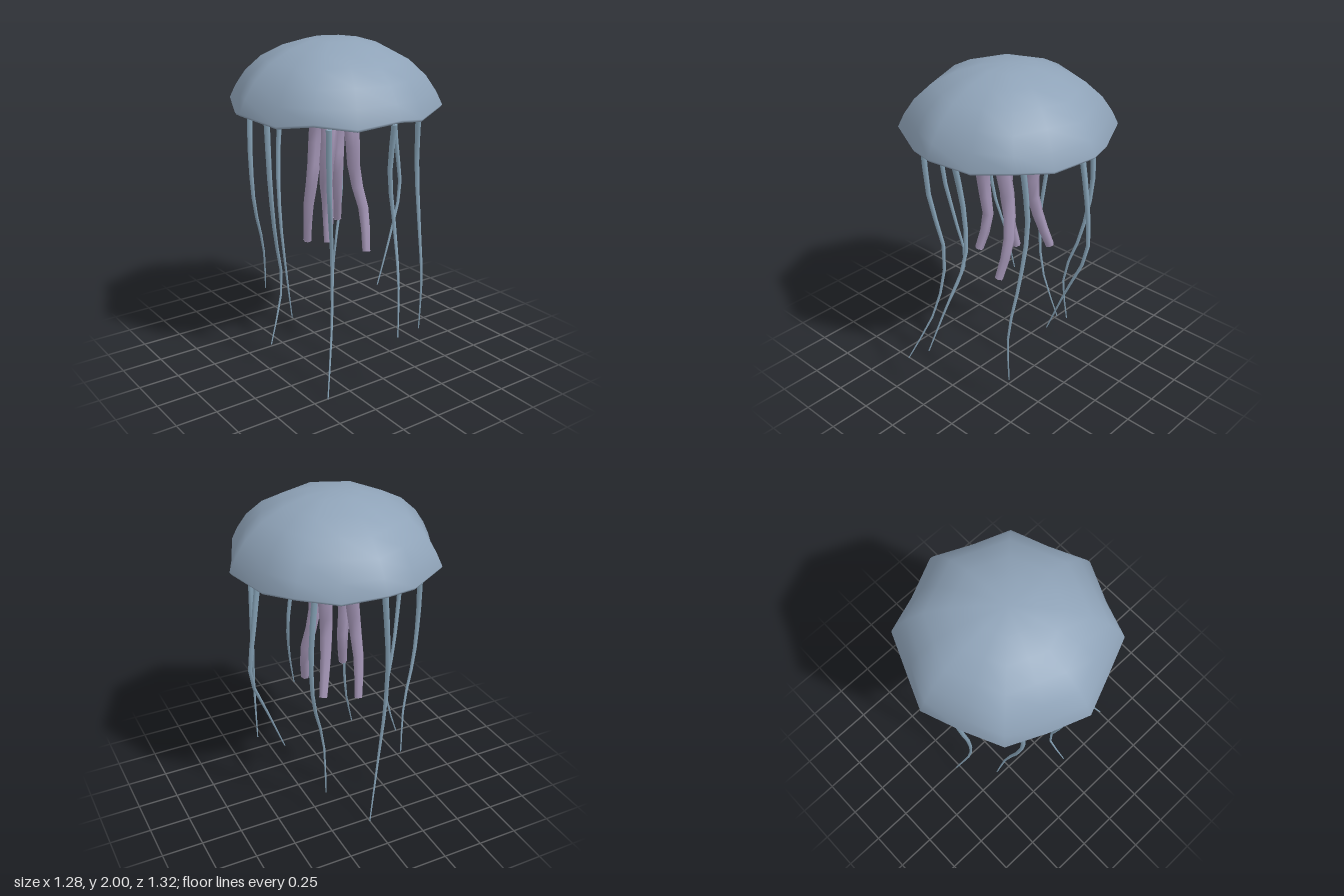
import * as THREE from 'three';
import { mergeVertices, mergeGeometries } from 'three/addons/utils/BufferGeometryUtils.js';

const CENTER_Z = -0.017;
const mat = (color) => new THREE.MeshStandardMaterial({ color, side: THREE.DoubleSide });
const bellMat = mat(0x8fa3b8), armMat = mat(0xa294b4), tentacleMat = mat(0x86a2b6);

// Hollow eight-cornered dome with a scalloped, rounded lip
function makeBell() {
  const outer = [[0.64, 1.622], [0.602, 1.7], [0.54, 1.79], [0.44, 1.88], [0.307, 1.947], [0.164, 1.988], [0, 2]];
  const inner = outer.map(([x, y]) => [x * 0.945, y - (y - 1.622) * 0.1]).reverse();
  const lip = [[0.615, 1.607], [0.63, 1.607]];
  const profile = [...inner, ...lip, ...outer].map(([x, y]) => new THREE.Vector2(x, y));
  const lathe = new THREE.LatheGeometry(profile, 16);
  const pos = lathe.attributes.position;
  for (let i = 0; i < pos.count; i++) {
    if (Math.floor(i / profile.length) % 2 === 0) continue;
    // between corners: pull in to a straight side and let the rim hang lower
    const k = Math.cos(Math.PI / 8), y = pos.getY(i);
    const dip = 0.042 * THREE.MathUtils.clamp((1.76 - y) / 0.14, 0, 1);
    pos.setXYZ(i, pos.getX(i) * k, y - dip, pos.getZ(i) * k);
  }
  lathe.deleteAttribute('uv');
  lathe.deleteAttribute('normal');
  const geo = mergeVertices(lathe, 1e-4);
  geo.computeVertexNormals();
  const bell = new THREE.Mesh(geo, bellMat);
  bell.name = 'bell';
  bell.position.z = CENTER_Z;
  return bell;
}

// Path from a point on a ring under the bell, sinking evenly through the drift positions (x, z)
function hangingPath(degrees, radius, topY, endY, drift) {
  const a = THREE.MathUtils.degToRad(degrees);
  const top = [radius * Math.cos(a), radius * Math.sin(a) + CENTER_Z];
  return new THREE.CatmullRomCurve3([top, ...drift].map(([x, z], i) =>
    new THREE.Vector3(x, THREE.MathUtils.lerp(topY, endY, i / drift.length), z)));
}

// Tapering tube along a path, closed by a disc at each end
function strand(name, path, r0, r1, segments, sides, material) {
  const tube = new THREE.TubeGeometry(path, segments, 1, sides);
  const pos = tube.attributes.position, v = new THREE.Vector3();
  for (let i = 0; i < pos.count; i++) {
    const t = Math.floor(i / (sides + 1)) / segments;
    const c = path.getPointAt(t);
    v.fromBufferAttribute(pos, i).sub(c).multiplyScalar(THREE.MathUtils.lerp(r0, r1, t)).add(c);
    pos.setXYZ(i, v.x, v.y, v.z);
  }
  const caps = [0, 1].map((t) => {
    const cap = new THREE.CircleGeometry(t ? r1 : r0, sides);
    const dir = path.getTangentAt(t).multiplyScalar(t ? 1 : -1);
    cap.applyQuaternion(new THREE.Quaternion().setFromUnitVectors(new THREE.Vector3(0, 0, 1), dir));
    const c = path.getPointAt(t);
    return cap.translate(c.x, c.y, c.z);
  });
  const mesh = new THREE.Mesh(mergeGeometries([tube, ...caps]), material);
  mesh.name = name;
  return mesh;
}

// Sideways drift of the thick oral arms, alternately long and short
const ARM_DRIFT = [
  [[0.06, 0.09], [0.09, 0.075], [0.13, 0.12], [0.105, 0.18]],
  [[0.11, -0.13], [0.1, -0.12], [0.125, -0.16], [0.17, -0.22]],
  [[-0.07, -0.11], [-0.1, -0.1], [-0.11, -0.14], [-0.085, -0.19]],
  [[-0.11, 0.09], [-0.12, 0.07], [-0.1, 0.06], [-0.13, 0.11]],
];

// Sideways drift of the thin tentacles, in three repeating lengths
const TENTACLE_DRIFT = [
  [[0.415, 0.272], [0.403, 0.322], [0.378, 0.39], [0.375, 0.38]],
  [[0.075, 0.435], [0.098, 0.455], [0.045, 0.57], [-0.025, 0.66]],
  [[-0.295, 0.36], [-0.24, 0.305], [-0.28, 0.36], [-0.41, 0.505]],
  [[-0.5, 0.06], [-0.45, 0.02], [-0.39, -0.015], [-0.5, 0.03]],
  [[-0.42, -0.297], [-0.4, -0.3], [-0.322, -0.34], [-0.285, -0.39]],
  [[-0.1, -0.505], [-0.12, -0.46], [-0.085, -0.455], [0, -0.525]],
  [[0.335, -0.413], [0.303, -0.368], [0.215, -0.315], [0.22, -0.355]],
  [[0.545, -0.09], [0.57, -0.075], [0.457, -0.03], [0.34, -0.005]],
];

export function createModel() {
  const model = new THREE.Group();
  model.name = 'jellyfish';
  model.add(makeBell());
  ARM_DRIFT.forEach((drift, i) => {
    const path = hangingPath(45 - 90 * i, 0.09, 1.63, [0.7, 0.79][i % 2], drift);
    model.add(strand(`oralArm${i + 1}`, path, 0.055, 0.027, 7, 6, armMat));
  });
  TENTACLE_DRIFT.forEach((drift, i) => {
    const path = hangingPath(38 + 45 * i, 0.505, 1.565, [0.18, 0.35, 0][i % 3], drift);
    model.add(strand(`tentacle${i + 1}`, path, 0.019, 0.004, 9, 5, tentacleMat));
  });
  return model;
}
